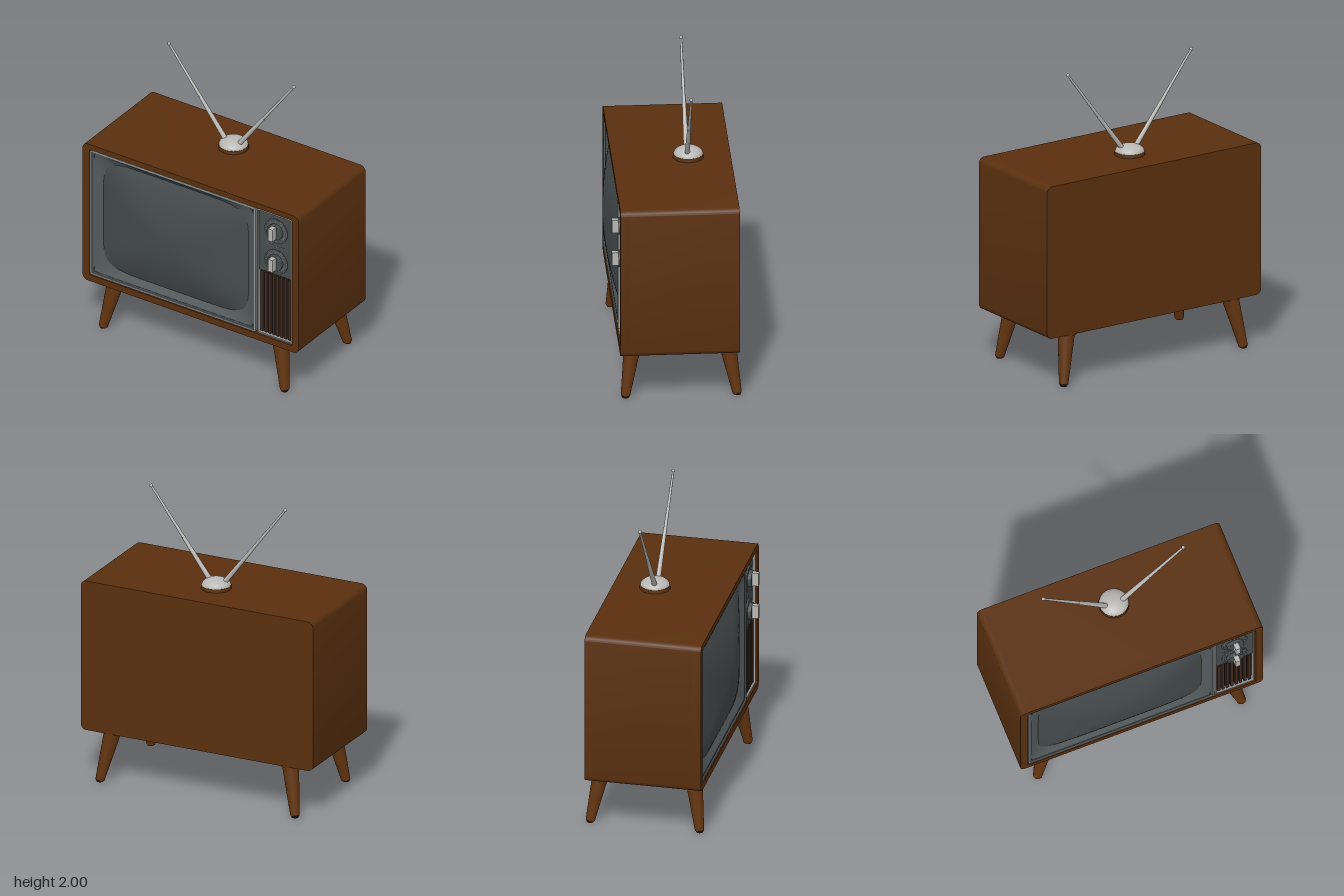
import * as THREE from 'three';
import { toCreasedNormals } from 'three/addons/utils/BufferGeometryUtils.js';
import { ParametricGeometry } from 'three/addons/geometries/ParametricGeometry.js';

const mat = (name, color, side = THREE.FrontSide) => {
  const m = new THREE.MeshStandardMaterial({ color, side });
  m.name = name;
  return m;
};

// Rounded rectangle outline, usable as a shape or a hole
function roundRect(Type, x0, y0, x1, y1, r) {
  const s = new Type();
  s.moveTo(x0 + r, y0);
  s.lineTo(x1 - r, y0);
  s.absarc(x1 - r, y0 + r, r, -Math.PI / 2, 0, false);
  s.lineTo(x1, y1 - r);
  s.absarc(x1 - r, y1 - r, r, 0, Math.PI / 2, false);
  s.lineTo(x0 + r, y1);
  s.absarc(x0 + r, y1 - r, r, Math.PI / 2, Math.PI, false);
  s.lineTo(x0, y0 + r);
  s.absarc(x0 + r, y0 + r, r, Math.PI, Math.PI * 1.5, false);
  return s;
}

function extrude(shape, z0, z1) {
  const g = new THREE.ExtrudeGeometry(shape, { depth: z1 - z0, bevelEnabled: false, curveSegments: 8 });
  g.translate(0, 0, z0);
  return toCreasedNormals(g, 0.6);
}

// Point on a squared-off ellipse; larger n gives squarer corners
function squircle(u, cx, cy, hx, hy, n) {
  const a = u * Math.PI * 2, c = Math.cos(a), s = Math.sin(a);
  const r = Math.pow(Math.abs(c) ** n + Math.abs(s) ** n, -1 / n);
  return [cx + hx * r * c, cy + hy * r * s];
}

export function createModel() {
  const wood = mat('walnut wood', 0x5a300f);
  const legWood = mat('leg wood', 0x623410);
  const glass = mat('screen glass', 0x454b4d);
  const bezelGrey = mat('bezel grey', 0x535a5c);
  const panelGrey = mat('control panel grey', 0x474c4e);
  const chrome = mat('worn chrome', 0x929696);
  const silver = mat('antenna silver', 0xb9b8b5);
  const slatBrown = mat('speaker slat brown', 0x422c20);
  const dark = mat('dark recess', 0x1e1a18);

  const tv = new THREE.Group();
  tv.name = 'television';
  const add = (name, geo, material, x = 0, y = 0, z = 0, parent = tv) => {
    const m = new THREE.Mesh(geo, material);
    m.name = name;
    m.position.set(x, y, z);
    parent.add(m);
    return m;
  };
  const box = (w, h, d) => new THREE.BoxGeometry(w, h, d);

  // Tapered rod between two points
  const rod = (name, a, b, ra, rb, material, sides = 16) => {
    const dir = b.clone().sub(a);
    const m = add(name, new THREE.CylinderGeometry(rb, ra, dir.length(), sides), material);
    m.position.copy(a).add(b).multiplyScalar(0.5);
    m.quaternion.setFromUnitVectors(new THREE.Vector3(0, 1, 0), dir.normalize());
    return m;
  };

  // Cabinet: solid body and an open front rim
  const outline = () => roundRect(THREE.Shape, -0.84, 0.34, 0.84, 1.37, 0.04);
  add('cabinetBody', extrude(outline(), -0.4, 0.31), wood);
  const rim = outline();
  rim.holes.push(roundRect(THREE.Path, -0.788, 0.387, 0.79, 1.332, 0.012));
  add('cabinetRim', extrude(rim, 0.31, 0.37), wood);
  add('frontRecess', box(1.57, 0.94, 0.008), dark, 0, 0.86, 0.314);

  // Thin metal frames around the screen and the controls
  const frame = (name, x0, y0, x1, y1, t, z1, material) => {
    const s = roundRect(THREE.Shape, x0, y0, x1, y1, 0.01);
    s.holes.push(roundRect(THREE.Path, x0 + t, y0 + t, x1 - t, y1 - t, 0.005));
    add(name, extrude(s, 0.315, z1), material);
  };
  frame('screenTrim', -0.783, 0.392, 0.503, 1.327, 0.011, 0.366, chrome);
  frame('screenBorder', -0.772, 0.403, 0.492, 1.316, 0.013, 0.36, bezelGrey);
  frame('controlTrim', 0.51, 0.392, 0.785, 1.327, 0.009, 0.362, chrome);

  // Bezel slopes from a square edge in to the rounded tube outline
  const cx = -0.138, cy = 0.868;
  add('screenBezel', new ParametricGeometry((u, v, p) => {
    const o = squircle(u, -0.14, 0.86, 0.62, 0.445, 60);
    const i = squircle(u, cx, cy, 0.562, 0.402, 7);
    p.set(o[0] + (i[0] - o[0]) * v, o[1] + (i[1] - o[1]) * v, 0.358 - 0.026 * v);
  }, 96, 4), bezelGrey);

  // Bulging picture tube
  add('screen', new ParametricGeometry((u, v, p) => {
    const t = 1 - 0.999 * v;
    const e = squircle(u, cx, cy, 0.566 * t, 0.406 * t, 2 + 5 * t);
    p.set(e[0], e[1], 0.333 + 0.083 * (1 - t * t));
  }, 96, 20), glass);

  // Control panel with two tuning knobs
  add('controlPanel', box(0.257, 0.456, 0.026), panelGrey, 0.6475, 1.09, 0.331);
  const discGeo = (r, d) => new THREE.CylinderGeometry(r, r, d, 40).rotateX(Math.PI / 2);
  for (const [name, y] of [['upperKnob', 1.192], ['lowerKnob', 0.962]]) {
    const knob = new THREE.Group();
    knob.name = name;
    knob.position.set(0.65, y, 0.344);
    tv.add(knob);
    add('dialPlate', discGeo(0.088, 0.008), bezelGrey, 0, 0, 0.003, knob);
    add('dialRing', new THREE.TorusGeometry(0.083, 0.003, 6, 40), chrome, 0, 0, 0.007, knob);
    add('knobBase', discGeo(0.057, 0.026), panelGrey, 0, 0, 0.015, knob);
    add('knobRing', new THREE.TorusGeometry(0.055, 0.003, 6, 40), chrome, 0, 0, 0.028, knob);
    add('knobGrip', box(0.034, 0.09, 0.045), silver, 0, 0.002, 0.048, knob);
    for (let i = 0; i < 12; i++) {
      const a = (i / 12) * Math.PI * 2;
      const tick = add('dialTick', box(0.012, 0.004, 0.003), chrome, Math.cos(a) * 0.071, Math.sin(a) * 0.071, 0.008, knob);
      tick.rotation.z = a;
    }
  }
  add('panelDivider', box(0.16, 0.004, 0.004), chrome, 0.65, 1.075, 0.345);

  // Speaker grille of upright slats
  add('grilleBack', box(0.255, 0.46, 0.012), dark, 0.6475, 0.632, 0.324);
  for (let i = 0; i < 8; i++) {
    add('grilleSlat', box(0.019, 0.452, 0.026), slatBrown, 0.541 + i * 0.0304, 0.633, 0.338);
  }

  // Four splayed legs with mounting collars and dark feet
  for (const sx of [-1, 1]) {
    for (const [zt, zb] of [[0.278, 0.33], [-0.33, -0.392]]) {
      const top = new THREE.Vector3(sx * 0.64, 0.35, zt);
      const foot = new THREE.Vector3(sx * 0.705, 0.012, zb);
      rod('leg', top, foot, 0.057, 0.03, legWood, 20);
      add('legCollar', new THREE.CylinderGeometry(0.066, 0.066, 0.014, 24), legWood, sx * 0.64, 0.336, zt);
      add('legFoot', new THREE.CylinderGeometry(0.029, 0.022, 0.016, 20), dark, foot.x, 0.008, foot.z);
    }
  }

  // Antenna: wooden base, dome and two telescopic rods
  const az = -0.125;
  add('antennaBase', new THREE.CylinderGeometry(0.097, 0.1, 0.026, 32), wood, 0, 1.381, az);
  const dome = add('antennaDome', new THREE.SphereGeometry(0.096, 32, 12, 0, Math.PI * 2, 0, Math.PI / 2), silver, 0, 1.39, az);
  dome.scale.y = 0.53;
  for (const [x0, x1] of [[-0.055, -0.493], [0.05, 0.476]]) {
    const a = new THREE.Vector3(x0, 1.415, -0.115);
    const b = new THREE.Vector3(x1, 1.988, -0.112);
    const mid = a.clone().lerp(b, 0.45);
    rod('antennaLowerRod', a, mid, 0.017, 0.012, silver, 12);
    rod('antennaUpperRod', mid, b, 0.011, 0.007, silver, 12);
    add('antennaTip', new THREE.SphereGeometry(0.012, 12, 8), silver, b.x, b.y, b.z);
  }
  return tv;
}
